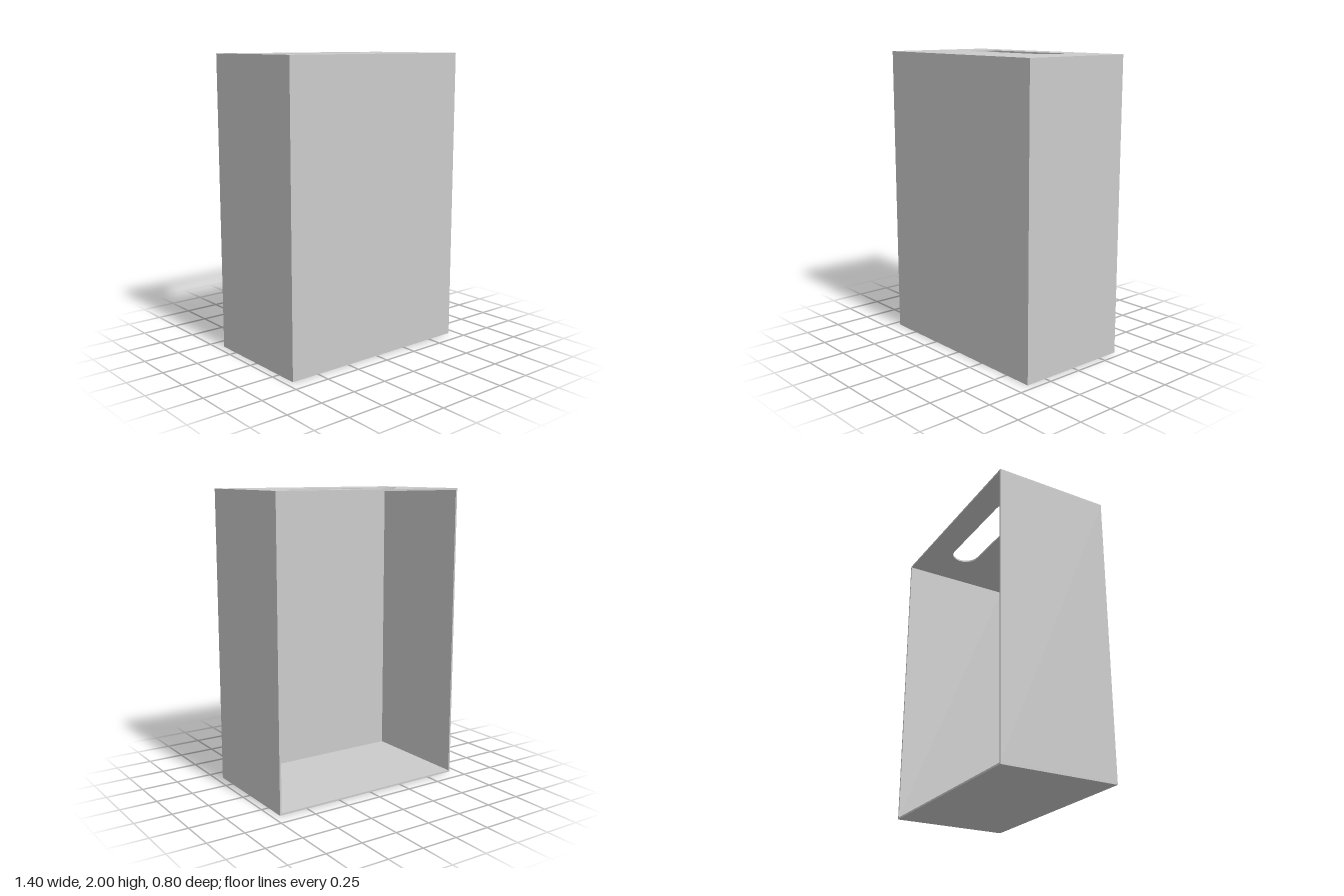
import * as THREE from 'three';

const W = 1.4, H = 2, D = 0.8, T = 0.012;

export function createModel() {
  const group = new THREE.Group();
  const material = new THREE.MeshStandardMaterial({ color: 0xcccccc });

  const add = (name, geometry, x, y, z) => {
    const mesh = new THREE.Mesh(geometry, material);
    mesh.name = name;
    mesh.position.set(x, y, z);
    group.add(mesh);
  };

  // Thin panels; the back stays open
  const innerH = H - 2 * T;
  add('bottomPanel', new THREE.BoxGeometry(W, T, D), 0, T / 2, 0);
  add('frontPanel', new THREE.BoxGeometry(W - 2 * T, innerH, T), 0, H / 2, D / 2 - T / 2);
  for (const [name, s] of [['leftPanel', 1], ['rightPanel', -1]]) {
    add(name, new THREE.BoxGeometry(T, innerH, D), s * (W / 2 - T / 2), H / 2, 0);
  }

  // Top panel with a round-ended hand slot towards the back
  const top = new THREE.Shape([
    new THREE.Vector2(-W / 2, -D / 2), new THREE.Vector2(W / 2, -D / 2),
    new THREE.Vector2(W / 2, D / 2), new THREE.Vector2(-W / 2, D / 2),
  ]);
  const r = 0.0975, half = 0.32, slotY = 0.117;
  const slot = new THREE.Path();
  slot.absarc(half, slotY, r, -Math.PI / 2, Math.PI / 2, false);
  slot.absarc(-half, slotY, r, Math.PI / 2, Math.PI * 1.5, false);
  slot.closePath();
  top.holes.push(slot);
  const topGeometry = new THREE.ExtrudeGeometry(top, { depth: T, bevelEnabled: false, curveSegments: 24 });
  topGeometry.rotateX(-Math.PI / 2);
  add('topPanel', topGeometry, 0, H - T, 0);

  return group;
}
